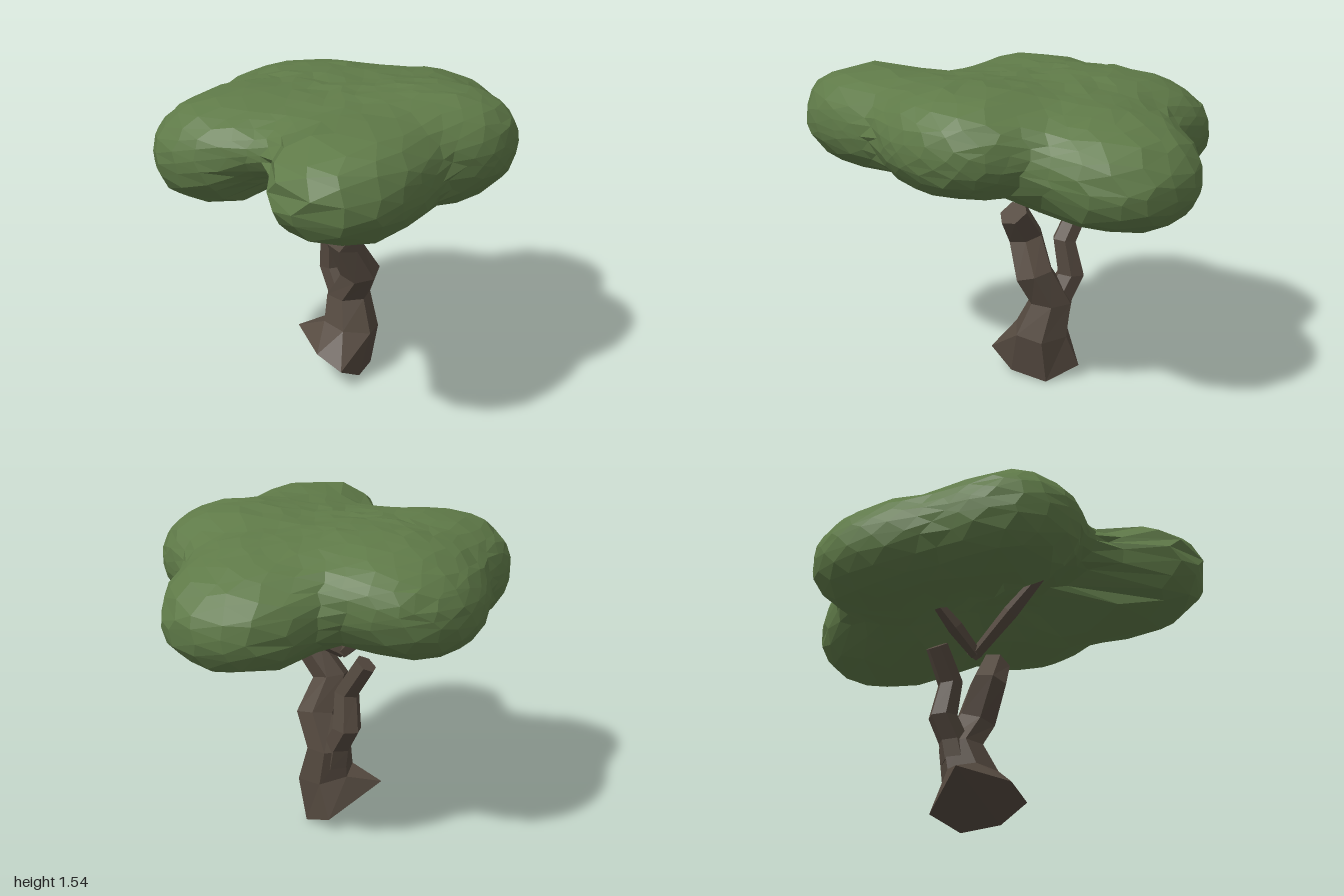
import * as THREE from 'three';
import { mergeVertices } from 'three/addons/utils/BufferGeometryUtils.js';

const V = (x, y, z) => new THREE.Vector3(x, y, z);

// Hard facets: every triangle keeps its own normal
function faceted(geometry) {
  const g = geometry.toNonIndexed();
  g.computeVertexNormals();
  return g;
}

function seeded(seed) {
  return () => {
    seed = (seed * 16807) % 2147483647;
    return seed / 2147483647;
  };
}

// Corners of a ring round centre p, across the normal n
function ring(p, r, n, sides = 6) {
  n.normalize();
  const u = V(1, 0, 0).addScaledVector(n, -n.x).normalize();
  const w = u.clone().cross(n);
  return Array.from({ length: sides }, (_, k) => {
    const a = ((k + 0.25) / sides) * Math.PI * 2;
    return p.clone().addScaledVector(u, Math.cos(a) * r).addScaledVector(w, Math.sin(a) * r);
  });
}

// Closed limb through a list of rings
function limb(rings) {
  const sides = rings[0].length, index = [];
  for (let i = 0; i < rings.length - 1; i++)
    for (let k = 0; k < sides; k++) {
      const a = i * sides + k, b = i * sides + ((k + 1) % sides);
      index.push(a, a + sides, b, b, a + sides, b + sides);
    }
  const top = (rings.length - 1) * sides;
  for (let k = 1; k < sides - 1; k++) {
    index.push(0, k, k + 1);
    index.push(top, top + k + 1, top + k);
  }
  const g = new THREE.BufferGeometry().setFromPoints(rings.flat());
  g.setIndex(index);
  return faceted(g);
}

// Foliage clumps that melt together: centre, radii, lean (rise per x, rise per z)
const CLUMPS = [
  { at: V(-0.01, 1.32, 0.04), radii: V(0.62, 0.185, 0.61), lean: [0.02, 0] },
  { at: V(0.1, 1.2, -0.52), radii: V(0.4, 0.265, 0.48), lean: [0, 0.1] },
  { at: V(0.42, 1.28, 0.55), radii: V(0.33, 0.25, 0.455), lean: [0, 0] },
  { at: V(0.45, 1.285, -0.05), radii: V(0.375, 0.255, 0.41), lean: [0, 0] },
  { at: V(-0.41, 1.235, -0.18), radii: V(0.42, 0.265, 0.45), lean: [0.15, 0] },
  { at: V(-0.4, 1.23, 0.34), radii: V(0.335, 0.265, 0.39), lean: [0.08, 0] },
];

// Below zero inside the blended clumps
function foliage(q) {
  const e = 2.25, k = 8;
  let sum = 0;
  for (const { at, radii, lean } of CLUMPS) {
    const x = q.x - at.x, z = q.z - at.z, y = q.y - at.y - lean[0] * x - lean[1] * z;
    const f = (Math.abs(x / radii.x) ** e + Math.abs(y / radii.y) ** e + Math.abs(z / radii.z) ** e) ** (1 / e) - 1;
    sum += Math.exp(-k * f);
  }
  return -Math.log(sum) / k + 0.02;
}

// Faceted shell: each vertex slides inward along its ray until it meets the foliage
function canopyGeometry() {
  const ico = new THREE.IcosahedronGeometry(1, 7);
  ico.deleteAttribute('normal');
  ico.deleteAttribute('uv');
  const g = mergeVertices(ico, 1e-4);
  const p = g.attributes.position, rand = seeded(77);
  const heart = V(0, 1.29, 0), d = V(0, 0, 0), q = V(0, 0, 0);
  for (let i = 0; i < p.count; i++) {
    d.fromBufferAttribute(p, i);
    d.add(V(rand() - 0.5, rand() - 0.5, rand() - 0.5).multiplyScalar(0.07));
    d.y *= 0.4;
    d.normalize();
    let t = 1.3;
    while (t > 0.05 && foliage(q.copy(heart).addScaledVector(d, t)) > 0) t -= 0.004;
    q.y += (rand() - 0.5) * 0.014;
    p.setXYZ(i, q.x, q.y, q.z);
  }
  return faceted(g);
}

export function createModel() {
  const bark = new THREE.MeshStandardMaterial({ color: 0x54493f });
  bark.name = 'bark brown';
  const leaf = new THREE.MeshStandardMaterial({ color: 0x5f7a48 });
  leaf.name = 'leaf green';

  const tree = new THREE.Group();
  tree.name = 'tree';
  const add = (name, geometry, material) => {
    const m = new THREE.Mesh(geometry, material);
    m.name = name;
    tree.add(m);
  };

  // Flared foot cut on a slant, continuing into the thicker stem
  const foot = [
    V(0.11, 0.02, 0.03), V(0.1, 0.1, 0.18), V(-0.04, 0.16, 0.18),
    V(-0.26, 0.2, 0.02), V(-0.1, 0.06, -0.23), V(0.06, 0, -0.16),
  ];
  add('trunk', limb([
    foot,
    ring(V(0.0, 0.24, -0.07), 0.14, V(0.1, 1, -0.15)),
    ring(V(-0.035, 0.39, -0.1), 0.11, V(0, 1, 0)),
    ring(V(0.05, 0.54, -0.07), 0.1, V(0.1, 1, 0.3)),
    ring(V(0.02, 0.71, 0.02), 0.09, V(0.2, 1, 0.1)),
    ring(V(0.12, 0.85, 0.0), 0.075, V(0.6, 0.8, 0)),
  ]), bark);

  // Thinner stem forking to the other side
  add('sideStem', limb([
    ring(V(-0.06, 0.3, -0.1), 0.08, V(0, 1, 0)),
    ring(V(-0.08, 0.4, -0.11), 0.075, V(-0.1, 1, 0)),
    ring(V(-0.145, 0.51, -0.13), 0.072, V(-0.1, 1, 0)),
    ring(V(-0.13, 0.68, -0.1), 0.062, V(-0.2, 1, 0)),
    ring(V(-0.235, 0.84, -0.11), 0.055, V(-0.55, 0.8, 0)),
  ]), bark);

  // Slim branches fanning up into the foliage
  const fork = V(-0.06, 0.84, 0.0);
  [V(-0.32, 1.08, -0.1), V(0.3, 1.09, -0.25), V(-0.07, 1.22, 0.45)].forEach((tip, i) => {
    const along = tip.clone().sub(fork);
    add('branch' + (i + 1), limb([
      ring(fork, 0.03, along, 5),
      ring(fork.clone().lerp(tip, 0.45), 0.04, along, 5),
      ring(tip, 0.02, along, 5),
    ]), bark);
  });

  add('canopy', canopyGeometry(), leaf);
  return tree;
}
